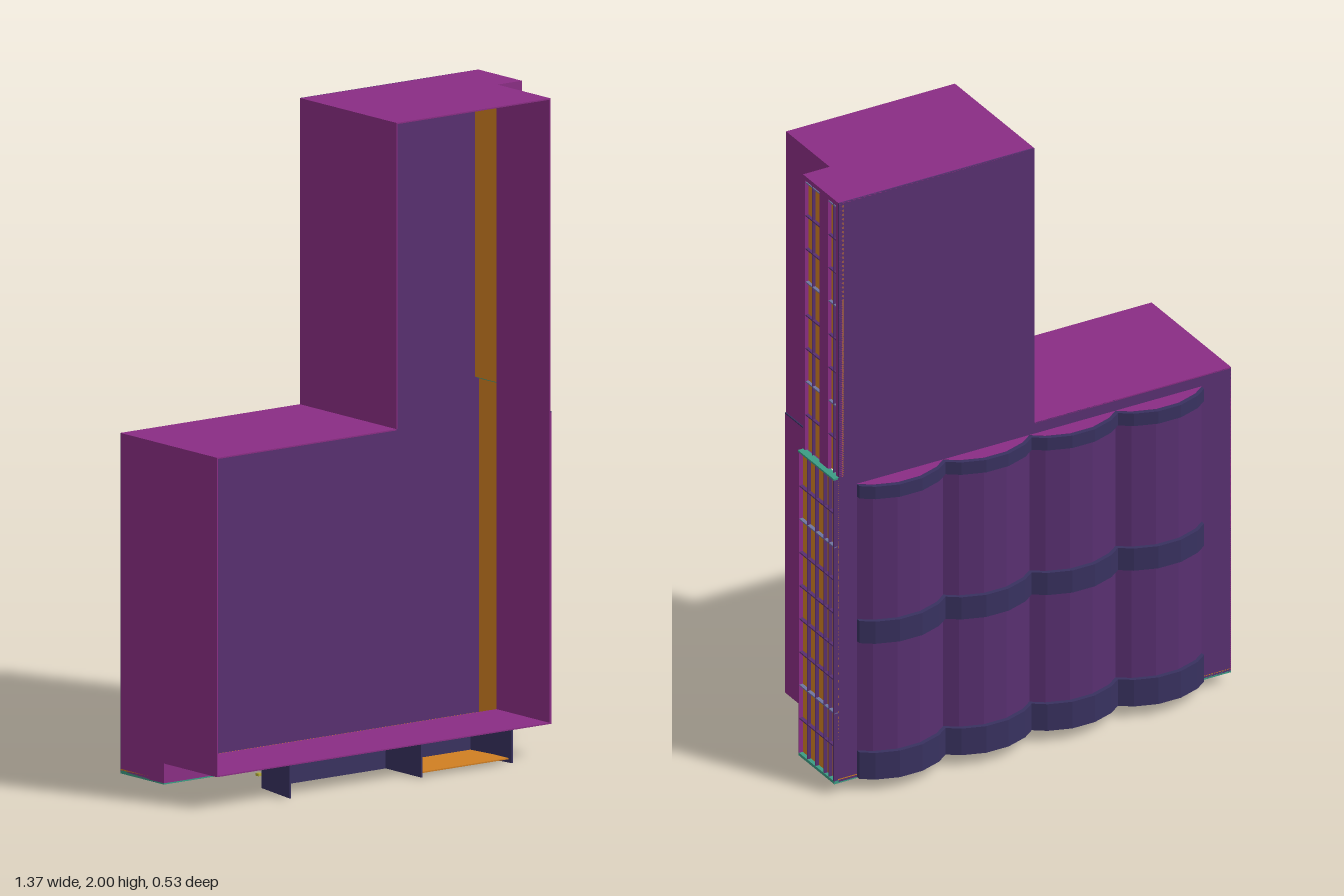
import * as THREE from 'three';

const mat = (name, color) => new THREE.MeshStandardMaterial({ name, color, side: THREE.DoubleSide });

export function createModel() {
  const model = new THREE.Group();
  model.name = 'building';
  const magenta = mat('magenta', 0x8a2d84);
  const purple = mat('purple', 0x582f70);
  const navy = mat('navy', 0x38315f);
  const orange = mat('orange', 0xd07f22);
  const teal = mat('teal', 0x3c9c84);
  const blue = mat('blue', 0x6f74a0);
  const yellow = mat('yellow', 0xb5ae38);

  // Axis-aligned box from its limits
  function box(name, m, x0, x1, y0, y1, z0, z1, parent = model) {
    const mesh = new THREE.Mesh(new THREE.BoxGeometry(x1 - x0, y1 - y0, z1 - z0), m);
    mesh.position.set((x0 + x1) / 2, (y0 + y1) / 2, (z0 + z1) / 2);
    mesh.name = name;
    parent.add(mesh);
    return mesh;
  }

  // Plan outline given as [x, z], raised from y0 to y1
  function raise(name, m, pts, y0, y1, parent = model) {
    const shape = new THREE.Shape(pts.map(([x, z]) => new THREE.Vector2(x, -z)));
    const geo = new THREE.ExtrudeGeometry(shape, { depth: y1 - y0, bevelEnabled: false });
    geo.rotateX(-Math.PI / 2);
    geo.translate(0, y0, 0);
    const mesh = new THREE.Mesh(geo, m);
    mesh.name = name;
    parent.add(mesh);
  }

  const T = 0.004; // wall thickness
  const L = -0.687, R = 0.575, B = -0.2, M = 0.01, F = 0.265;

  // Back wall, L-shaped in two pieces
  box('lowerBackWall', purple, L, 0.67, 0.04, 1.07, B, B + T);
  box('towerBackWall', purple, -0.008, 0.667, 1.07, 2, B, B + T);

  // Outer walls and roofs of the open-fronted shell
  box('leftWallBack', magenta, L, L + T, 0.04, 1.07, B, M);
  box('leftWallFront', magenta, L, L + T, 0.1, 1.07, M, F);
  box('lowerRoof', magenta, L, -0.008, 1.07 - T, 1.07, B, F);
  box('towerLeftWall', magenta, -0.008, -0.008 + T, 1.07, 2, B, F);
  box('towerRoofFront', magenta, -0.008, R, 2 - T, 2, M, F);
  box('towerRoofBack', magenta, -0.008, 0.667, 2 - T, 2, B, M);
  box('rightWall', magenta, R - T, R, 0.1, 2, M, F);
  box('rightWallLower', magenta, R, R + 0.004, 0.1, 1.045, M, F);
  box('rightWallLedge', navy, R, R + 0.004, 1.045, 1.049, M, F);
  box('rightWallPanel', magenta, R + 0.004, R + 0.006, 0.67, 1.03, M, 0.14);
  box('shoulderLower', magenta, R, 0.683, 0.04, 1.07, M - T, M);
  box('shoulderUpper', magenta, R, 0.667, 1.07, 2, M - T, M);
  box('frontFloor', magenta, L, R, 0.1, 0.1 + T, M, F);
  box('floorStep', magenta, L, R, 0.04, 0.1, M - T, M);

  // Lower glazed side with projecting fins
  const lower = new THREE.Group();
  lower.name = 'lowerSideWindows';
  model.add(lower);
  box('glass', orange, 0.666, 0.67, 0.04, 1.065, B, M - T, lower);
  box('capStrip', teal, 0.66, 0.685, 1.065, 1.071, B, M, lower);
  box('baseStrip', teal, 0.667, 0.683, 0.04, 0.046, B, M, lower);
  box('backEdge', purple, 0.667, 0.683, 0.04, 1.065, B, B + 0.007, lower);
  for (let i = 1; i < 9; i++) {
    const y = 0.05 + i * 0.1125;
    const accent = i % 5 === 2;
    box('crossFin', accent ? blue : purple, 0.67, 0.682, y - 0.002, y + 0.002, B, M - T, lower);
  }
  for (const z of [-0.04, -0.088, -0.138, -0.165]) {
    box('uprightFin', purple, 0.67, 0.682, 0.045, 1.065, z - 0.0015, z + 0.0015, lower);
  }

  // Upper glazed side: two window columns in a solid frame
  const upper = new THREE.Group();
  upper.name = 'upperSideWindows';
  model.add(upper);
  box('glass', orange, 0.651, 0.655, 1.07, 1.996, B, M - T, upper);
  for (const [z0, z1] of [[B, -0.184], [-0.137, -0.088], [-0.002, M]]) {
    box('frameUpright', magenta, 0.655, 0.667, 1.07, 2, z0, z1, upper);
  }
  box('frameTop', magenta, 0.655, 0.667, 1.985, 2, B, M, upper);
  for (let i = 0; i < 8; i++) {
    const y = 1.19 + i * 0.1125;
    box('crossFin', i % 3 === 1 ? blue : purple, 0.655, 0.665, y - 0.002, y + 0.002, -0.184, -0.002, upper);
  }
  for (const z of [-0.04, -0.165]) {
    box('uprightFin', purple, 0.655, 0.665, 1.07, 1.985, z - 0.0015, z + 0.0015, upper);
  }

  // Glazed underside with fins pointing down
  const under = new THREE.Group();
  under.name = 'undersideWindows';
  model.add(under);
  box('glass', orange, L, 0.67, 0.046, 0.05, B, M - T, under);
  box('frontFrame', teal, L, 0.683, 0.036, 0.046, M - 0.005, M, under);
  box('backFrame', teal, L, 0.683, 0.036, 0.046, B, B + 0.005, under);
  for (let i = 0; i <= 12; i++) {
    const x = L + 0.002 + i * 0.1138;
    const m = i % 12 === 0 ? teal : purple;
    box('crossFin', m, x - 0.002, x + 0.002, 0.036, 0.046, B, M, under);
  }
  for (const z of [-0.04, -0.09, -0.14]) {
    box('longFin', purple, L, 0.68, 0.036, 0.046, z - 0.002, z + 0.002, under);
  }

  // Four scalloped bays on the back, ringed by three bands
  const profile = [[0, 0.015], [0.13, 0.043], [0.37, 0.067], [0.63, 0.067], [0.87, 0.043], [1, 0.015]];
  const W = 0.2975;
  for (let i = 0; i < 4; i++) {
    const bay = new THREE.Group();
    bay.name = 'backBay';
    model.add(bay);
    const x0 = -0.585 + i * W;
    const outline = (inset) => [
      [x0, B], ...profile.map(([t, d]) => [x0 + t * W, B - d + inset]), [x0 + W, B],
    ];
    raise('bayWall', [magenta, purple], outline(0.0145), 0.05, 1.033, bay);
    for (const [y0, y1] of [[0.04, 0.13], [0.5, 0.575], [0.99, 1.032]]) {
      raise('bayBand', navy, outline(0), y0, y1, bay);
    }
  }

  // Entrance skirt under the front floor, ends splayed outward
  raise('entranceSkirt', navy, [
    [-0.412, F], [-0.382, 0.09], [0.41, 0.09], [0.432, F],
    [0.427, F], [0.405, 0.095], [-0.377, 0.095], [-0.407, F],
  ], 0, 0.1);
  box('entranceDivider', navy, 0.085, 0.09, 0, 0.1, 0.09, F);
  box('entranceFloor', orange, 0.09, 0.418, 0.012, 0.016, 0.094, F - 0.004);

  // Broken strip of small plates behind the skirt
  for (let i = 0; i < 14; i++) {
    for (let j = 0; j < 4; j++) {
      const x = -0.35 + i * 0.0265 + (j % 2) * 0.008, z = 0.022 + j * 0.0175;
      box('stripPlate', yellow, x, x + 0.014, 0.022, 0.03, z, z + 0.013);
    }
  }
  return model;
}
